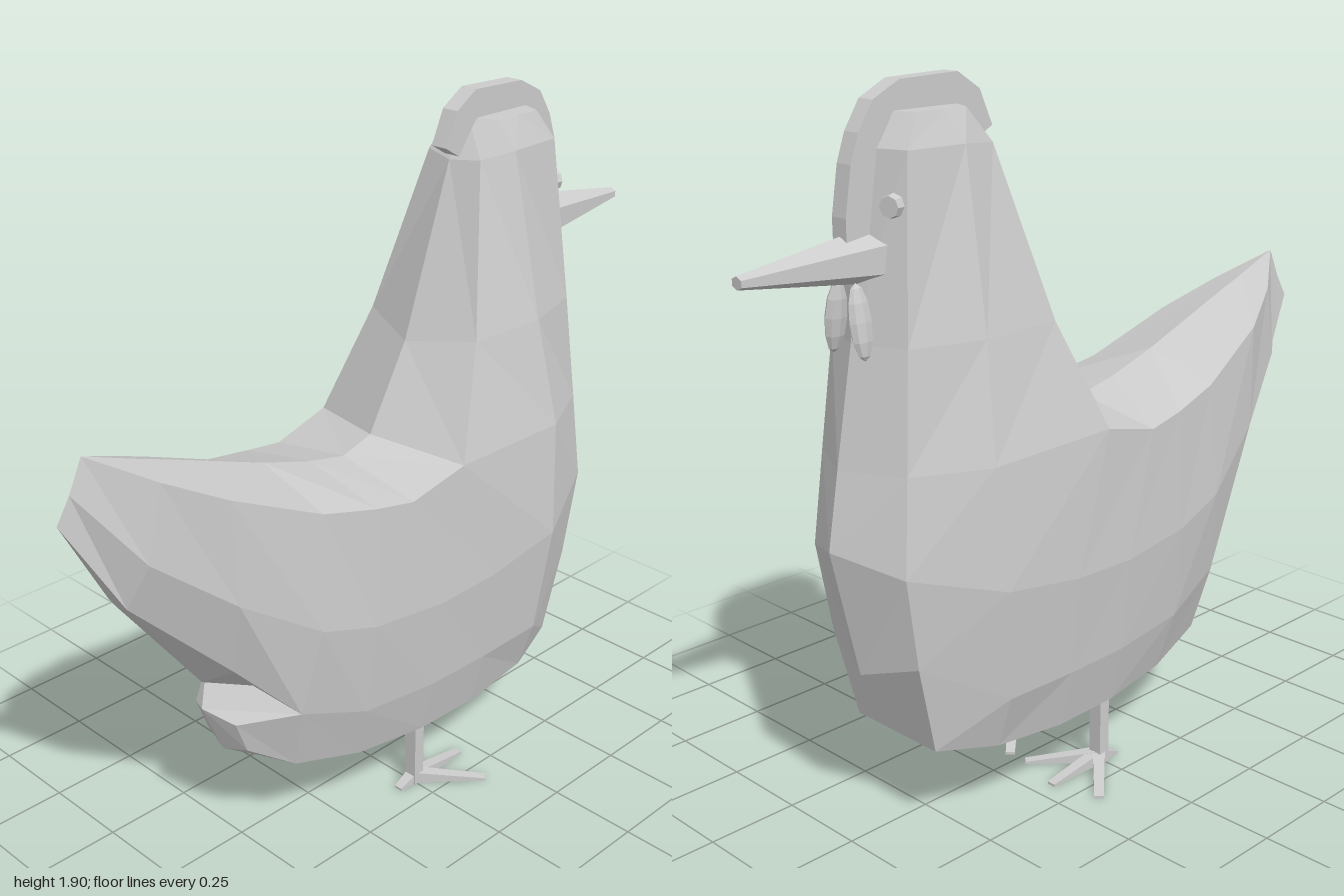
import * as THREE from 'three';

const grey = new THREE.MeshStandardMaterial({ color: 0xcccccc, flatShading: true });

function add(parent, name, geometry, x = 0, y = 0, z = 0) {
  const mesh = new THREE.Mesh(geometry, grey);
  mesh.name = name;
  mesh.position.set(x, y, z);
  parent.add(mesh);
  return mesh;
}

// Skin between rows (top to bottom, each running back to front), mirrored across z = 0
function skin(rows) {
  const pos = [];
  const tri = (a, b, c) => {
    pos.push(...a, ...b, ...c);
    for (const p of [a, c, b]) pos.push(p[0], p[1], -p[2]);
  };
  for (let r = 0; r < rows.length - 1; r++) {
    for (let i = 0; i < rows[r].length - 1; i++) {
      const a = rows[r][i], b = rows[r + 1][i], c = rows[r + 1][i + 1], d = rows[r][i + 1];
      tri(a, b, c);
      tri(a, c, d);
    }
  }
  const g = new THREE.BufferGeometry();
  g.setAttribute('position', new THREE.Float32BufferAttribute(pos, 3));
  g.computeVertexNormals();
  return g;
}

const transpose = (m) => m[0].map((_, i) => m.map((row) => row[i]));

// Toe: a bar from the ankle along +x that thins to the ground
function toeGeometry(length) {
  const g = new THREE.BoxGeometry(length, 0.035, 0.034).translate(length / 2, 0.0175, 0);
  const p = g.attributes.position;
  for (let i = 0; i < p.count; i++) {
    if (p.getX(i) > length / 2) {
      p.setY(i, p.getY(i) * 0.2);
      p.setZ(i, p.getZ(i) * 0.75);
    }
  }
  g.computeVertexNormals();
  return g;
}

export function createModel() {
  const bird = new THREE.Group();
  bird.name = 'hen';

  // Body: side rows from the back edge down to the keel
  const backEdge = [[-0.38, 1.02, 0.22], [-0.22, 0.985, 0.245], [-0.1, 0.965, 0.255], [0.08, 1.01, 0.265],
    [0.47, 1, 0.255], [0.665, 1, 0.16], [0.745, 1, 0]];
  const flank = [[-0.4, 0.7, 0.235], [-0.23, 0.65, 0.255], [0, 0.63, 0.27], [0.2, 0.64, 0.278],
    [0.45, 0.68, 0.28], [0.69, 0.75, 0.175], [0.78, 0.8, 0]];
  const belly = [[-0.44, 0.45, 0.19], [-0.24, 0.38, 0.225], [0, 0.365, 0.245], [0.2, 0.365, 0.25],
    [0.42, 0.37, 0.25], [0.65, 0.5, 0.165], [0.7, 0.45, 0]];
  const underEdge = [[-0.42, 0.26, 0.14], [-0.22, 0.215, 0.18], [0, 0.2, 0.205], [0.2, 0.2, 0.21],
    [0.42, 0.22, 0.2], [0.59, 0.25, 0.15], [0.59, 0.25, 0]];
  const keel = [[-0.42, 0.215, 0], [-0.22, 0.18, 0], [0, 0.16, 0], [0.18, 0.153, 0],
    [0.41, 0.17, 0], [0.57, 0.24, 0], [0.59, 0.25, 0]];
  add(bird, 'body', skin([backEdge, flank, belly, underEdge, keel]));

  // Back between the tail and the neck
  const spine = [[-0.38, 1.085, 0], [-0.22, 1.035, 0], [-0.1, 1.01, 0], [0, 1.04, 0]];
  add(bird, 'back', skin([spine, backEdge.slice(0, 4)]));

  // Neck and head, closed by a flat crown
  const crown = [[0.36, 1.83, 0], [0.385, 1.83, 0.08], [0.46, 1.83, 0.082], [0.54, 1.83, 0.08], [0.57, 1.83, 0]];
  add(bird, 'neckAndHead', skin([
    crown.map(() => [0.46, 1.83, 0]),
    crown,
    [[0.29, 1.73, 0], [0.31, 1.74, 0.09], [0.42, 1.75, 0.115], [0.59, 1.75, 0.105], [0.62, 1.75, 0]],
    [[0.13, 1.27, 0], [0.2, 1.3, 0.19], [0.44, 1.3, 0.2], [0.635, 1.3, 0.14], [0.69, 1.3, 0]],
    [spine[3], ...backEdge.slice(3)],
  ]));

  // Tail: sections from the upright tip ridge to the body
  add(bird, 'tail', skin(transpose([
    [[-0.92, 1.285, 0], [-0.92, 1.285, 0], [-0.96, 1.2, 0], [-1, 1.135, 0], [-1, 1.135, 0]],
    [[-0.78, 1.232, 0], [-0.78, 1.205, 0.1], [-0.82, 1, 0.095], [-0.85, 0.87, 0.035], [-0.85, 0.86, 0]],
    [[-0.63, 1.178, 0], [-0.63, 1.13, 0.17], [-0.62, 0.84, 0.175], [-0.6, 0.62, 0.12], [-0.61, 0.54, 0]],
    [spine[0], backEdge[0], flank[0], belly[0], [-0.44, 0.45, 0]],
  ])));

  // Rump tuft below the tail
  add(bird, 'rump', skin(transpose([
    [[-0.615, 0.46, 0], [-0.615, 0.46, 0], [-0.55, 0.305, 0], [-0.55, 0.305, 0]],
    [[-0.615, 0.46, 0], [-0.57, 0.425, 0.08], [-0.535, 0.33, 0.08], [-0.55, 0.305, 0]],
    [[-0.44, 0.45, 0], belly[0], underEdge[0], keel[0]],
  ])));

  // Comb: a thin strip over the crown down to the beak
  const comb = new THREE.Shape([
    [0.25, 1.77], [0.3, 1.74], [0.39, 1.81], [0.53, 1.81], [0.6, 1.74], [0.64, 1.5], [0.71, 1.5],
    [0.71, 1.6], [0.69, 1.72], [0.665, 1.79], [0.62, 1.86], [0.54, 1.9], [0.36, 1.905], [0.29, 1.86],
  ].map(([x, y]) => new THREE.Vector2(x, y)));
  add(bird, 'comb', new THREE.ExtrudeGeometry(comb, { depth: 0.05, bevelEnabled: false }), 0, 0, -0.025);

  // Beak
  const beak = add(bird, 'beak', new THREE.CylinderGeometry(0.016, 0.068, 0.37, 6), 0.812, 1.498, 0);
  beak.rotation.z = -Math.PI / 2 - 0.02;
  beak.scale.z = 1.25;
  beak.geometry.rotateY(Math.PI / 6);

  for (const side of [1, -1]) {
    const label = side > 0 ? 'left' : 'right';

    // Eyes and wattles
    const eye = add(bird, label + 'Eye', new THREE.CylinderGeometry(0.026, 0.033, 0.04, 8), 0.615, 1.625, side * 0.08);
    eye.rotation.set(0, -side * 0.3, -Math.PI / 2, 'YXZ');
    const wattle = add(bird, label + 'Wattle', new THREE.SphereGeometry(1, 8, 6), 0.695, 1.36, side * 0.045);
    wattle.scale.set(0.032, 0.092, 0.02);
    wattle.rotation.x = -side * 0.15;

    // Legs and feet
    const leg = new THREE.Group();
    leg.name = label + 'Leg';
    leg.position.set(0.007, 0, side * 0.17);
    bird.add(leg);
    add(leg, 'shank', new THREE.BoxGeometry(0.034, 0.24, 0.04), 0, 0.12, 0);
    for (const [x, z] of [[0.19, 0], [0.15, 0.14], [0.15, -0.14], [-0.065, 0]]) {
      add(leg, 'toe', toeGeometry(Math.hypot(x, z))).rotation.y = Math.atan2(-z, x);
    }
  }
  return bird;
}
